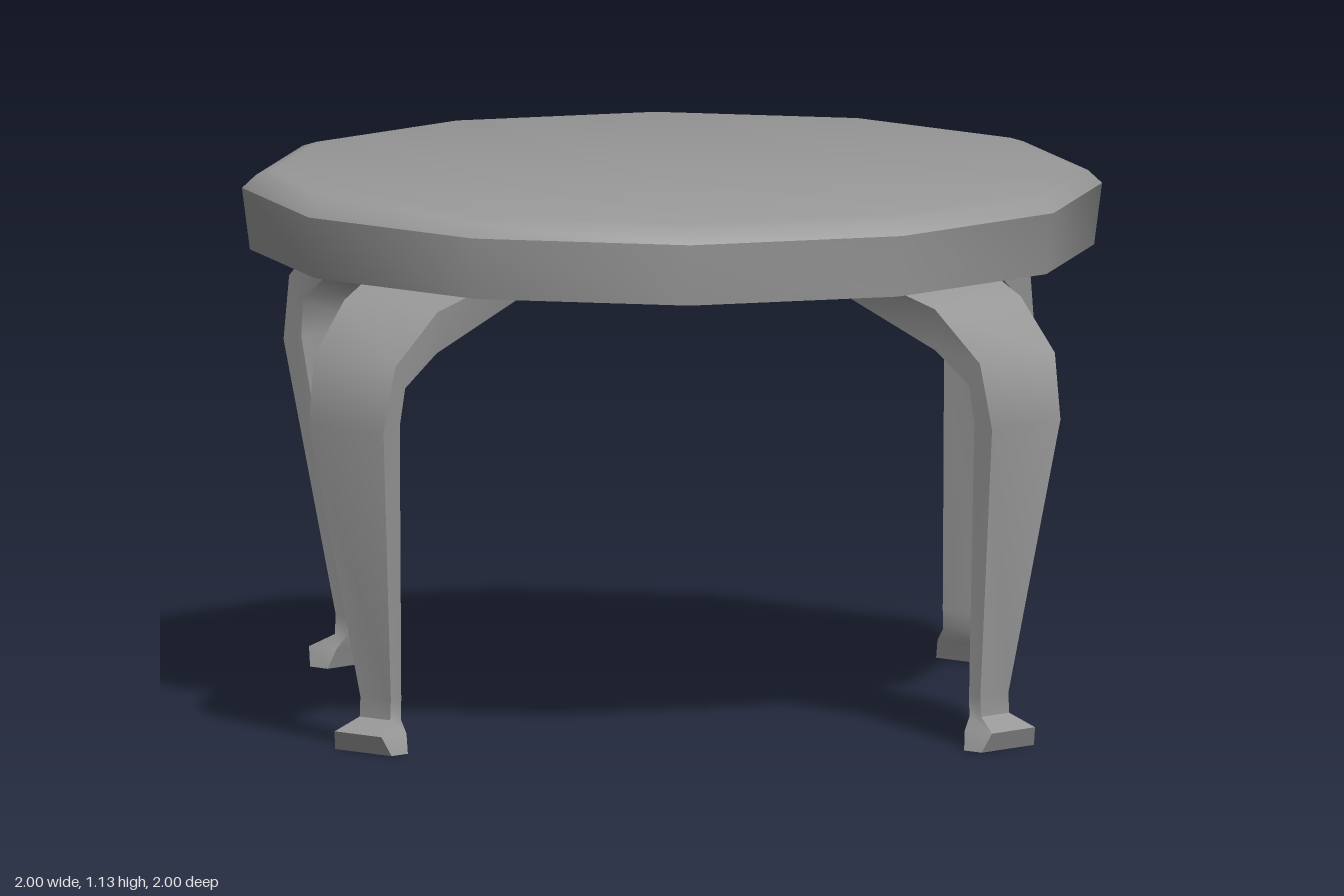
import * as THREE from 'three';
import { toCreasedNormals } from 'three/addons/utils/BufferGeometryUtils.js';

const CREASE = THREE.MathUtils.degToRad(50);
const material = new THREE.MeshStandardMaterial({ color: 0x999999 });

// Twelve-sided top with a tapered rim and a rounded upper edge
function createTabletop() {
  const toCorner = 1 / Math.cos(Math.PI / 12); // flat distance -> corner radius
  const profile = [[0, 0.963], [0.848, 0.963], [0.864, 1.092], [0.836, 1.119], [0.805, 1.129], [0, 1.129]]
    .map(([r, y]) => new THREE.Vector2(r * toCorner, y));
  const geometry = new THREE.LatheGeometry(profile, 12, Math.PI / 12);
  const mesh = new THREE.Mesh(toCreasedNormals(geometry, CREASE), material);
  mesh.name = 'tabletop';
  return mesh;
}

// Curved leg along +x, lofted through four-cornered sections
function createLegGeometry() {
  // outer x, y, half width, then inner x, y, half width
  const sections = [
    [0.755, 0.966, 0.157, 0.555, 0.966, 0.157],
    [0.863, 0.928, 0.132, 0.855, 0.84, 0.122],
    [0.975, 0.822, 0.115, 0.94, 0.774, 0.111],
    [1.0, 0.685, 0.105, 0.95, 0.695, 0.105],
    [0.91, 0.11, 0.043, 0.878, 0.108, 0.043],
    [0.912, 0.068, 0.043, 0.879, 0.066, 0.043],
    [0.964, 0.04, 0.066, 0.887, 0.04, 0.066],
    [0.948, 0, 0.08, 0.898, 0, 0.08],
  ];
  const positions = [];
  const index = [];
  for (const [ox, oy, ow, ix, iy, iw] of sections) {
    positions.push(ox, oy, ow, ox, oy, -ow, ix, iy, -iw, ix, iy, iw);
  }
  const quad = (a, b, c, d) => index.push(a, b, c, a, c, d);
  for (let i = 0; i < sections.length - 1; i++) {
    for (let j = 0; j < 4; j++) {
      const a = i * 4 + j;
      const b = i * 4 + (j + 1) % 4;
      quad(a, a + 4, b + 4, b);
    }
  }
  const last = (sections.length - 1) * 4;
  quad(0, 1, 2, 3); // hidden end under the top
  quad(last + 3, last + 2, last + 1, last); // sole of the foot

  const geometry = new THREE.BufferGeometry();
  geometry.setAttribute('position', new THREE.Float32BufferAttribute(positions, 3));
  geometry.setIndex(index);
  return toCreasedNormals(geometry, CREASE);
}

export function createModel() {
  const table = new THREE.Group();
  table.name = 'roundTable';
  table.add(createTabletop());

  // Four identical legs, a quarter turn apart
  const legGeometry = createLegGeometry();
  ['leftLeg', 'backLeg', 'rightLeg', 'frontLeg'].forEach((name, i) => {
    const leg = new THREE.Mesh(legGeometry, material);
    leg.name = name;
    leg.rotation.y = i * Math.PI / 2;
    table.add(leg);
  });
  return table;
}
